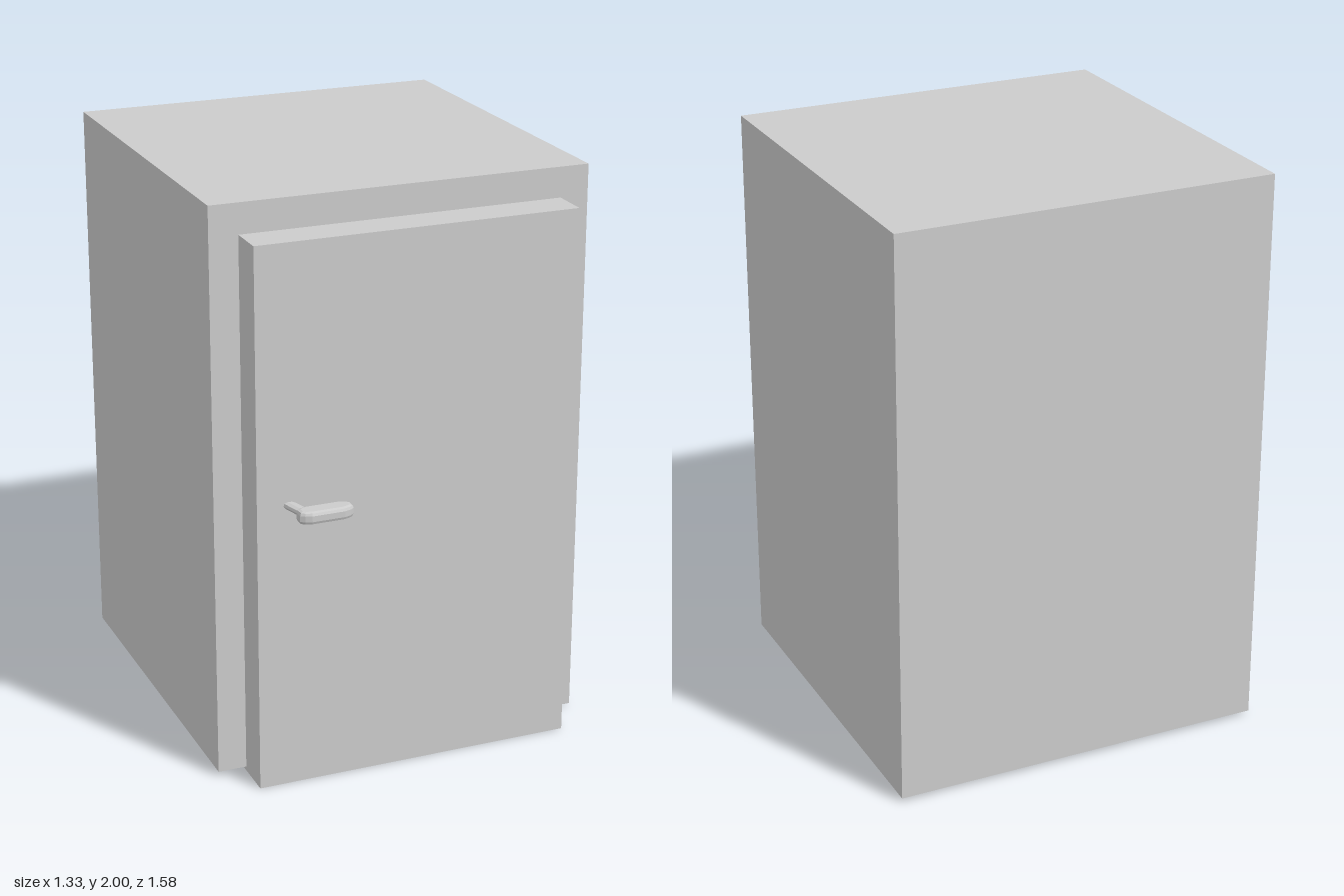
import * as THREE from 'three';

const material = new THREE.MeshStandardMaterial({ color: 0xcccccc, flatShading: true });

// Box given by its minimum and maximum corners
function box(name, min, max) {
  const size = max.map((v, i) => v - min[i]);
  const mesh = new THREE.Mesh(new THREE.BoxGeometry(...size), material);
  mesh.position.set(...max.map((v, i) => (v + min[i]) / 2));
  mesh.name = name;
  return mesh;
}

// Flat bar with softened corners, outlined in plan and bevelled top and bottom
function gripGeometry(length, depth, height) {
  const bevel = 0.012;
  const x = length / 2 - bevel, z = depth / 2 - bevel, cx = 0.026, cz = 0.012;
  const outline = new THREE.Shape([
    [-x + cx, -z], [x - cx, -z], [x - 0.008, -z + 0.006], [x, -z + cz],
    [x, z - cz], [x - 0.008, z - 0.006], [x - cx, z], [-x + cx, z],
    [-x + 0.008, z - 0.006], [-x, z - cz], [-x, -z + cz], [-x + 0.008, -z + 0.006],
  ].map(([a, b]) => new THREE.Vector2(a, b)));
  return new THREE.ExtrudeGeometry(outline, {
    depth: height - 2 * bevel, bevelEnabled: true,
    bevelThickness: bevel, bevelSize: bevel, bevelSegments: 2,
  }).center().rotateX(-Math.PI / 2);
}

export function createModel() {
  const model = new THREE.Group();
  model.name = 'cabinet';

  // Main body, slightly raised, and the door block that runs into it
  model.add(box('body', [-0.665, 0.015, -0.795], [0.665, 2, 0.525]));
  model.add(box('door', [-0.565, 0, 0.02], [0.565, 1.895, 0.66]));

  // Door handle: slanted oval stem carrying a sideways grip
  const handle = new THREE.Group();
  handle.name = 'handle';

  const from = new THREE.Vector3(-0.452, 1.008, 0.64);
  const to = new THREE.Vector3(-0.424, 1.008, 0.745);
  const along = to.clone().sub(from);
  const stem = new THREE.Mesh(
    new THREE.CylinderGeometry(0.026, 0.026, along.length(), 10).scale(1, 1, 0.58), material);
  stem.name = 'handleStem';
  stem.position.copy(from).add(to).multiplyScalar(0.5);
  stem.quaternion.setFromUnitVectors(new THREE.Vector3(0, 1, 0), along.normalize());

  const grip = new THREE.Mesh(gripGeometry(0.185, 0.069, 0.044), material);
  grip.name = 'handleGrip';
  grip.position.set(-0.367, 1.008, 0.755);

  handle.add(stem, grip);
  model.add(handle);
  return model;
}
